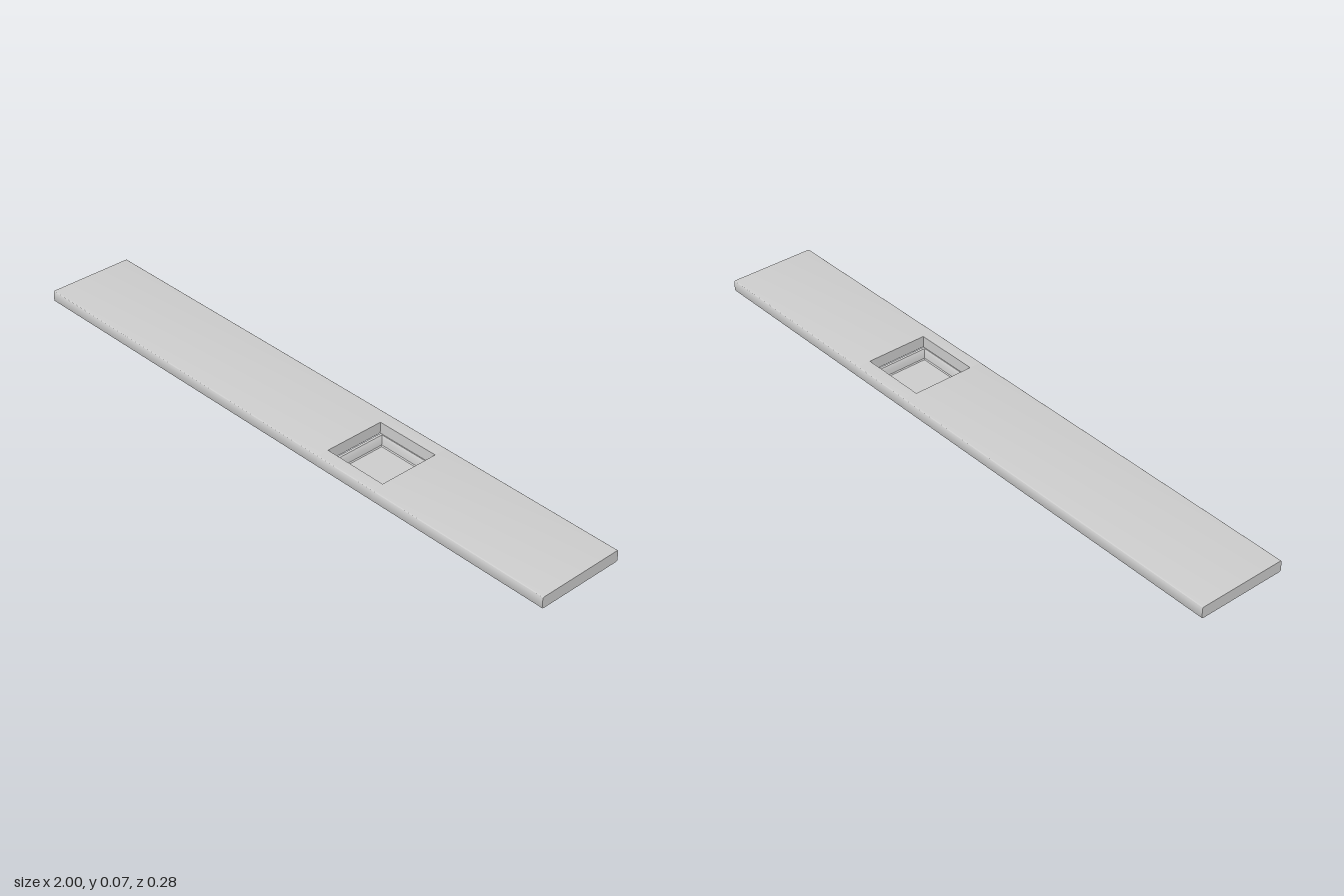
import * as THREE from 'three';
import { toCreasedNormals } from 'three/addons/utils/BufferGeometryUtils.js';

const material = new THREE.MeshStandardMaterial({ color: 0xcccccc });
const BOTTOM = 0.034, TOP = 0.07, DEPTH = 0.142, ROUND = 0.005;
const hole = { x0: 0.177, x1: 0.389, z0: -0.097, z1: 0.101 };

function add(group, name, geometry) {
  const mesh = new THREE.Mesh(toCreasedNormals(geometry, 0.55), material);
  mesh.name = name;
  group.add(mesh);
  return mesh;
}

// Slab section from z0 to z1, run along x; outer long edges are rounded
function slab(x0, x1, z0, z1) {
  const a = -z1, b = -z0;
  const ra = z1 >= DEPTH ? ROUND : 0, rb = z0 <= -DEPTH ? ROUND : 0;
  const s = new THREE.Shape();
  s.moveTo(a + ra, BOTTOM);
  s.lineTo(b - rb, BOTTOM);
  if (rb) s.quadraticCurveTo(b, BOTTOM, b, BOTTOM + rb);
  s.lineTo(b, TOP - rb);
  if (rb) s.quadraticCurveTo(b, TOP, b - rb, TOP);
  s.lineTo(a + ra, TOP);
  if (ra) s.quadraticCurveTo(a, TOP, a, TOP - ra);
  s.lineTo(a, BOTTOM + ra);
  if (ra) s.quadraticCurveTo(a, BOTTOM, a + ra, BOTTOM);
  return new THREE.ExtrudeGeometry(s, { depth: x1 - x0, bevelEnabled: false, curveSegments: 4 })
    .rotateY(Math.PI / 2).translate(x0, 0, 0);
}

export function createModel() {
  const model = new THREE.Group();
  model.name = 'countertopWithSink';

  // Worktop around the sink cutout
  const worktop = new THREE.Group();
  worktop.name = 'worktop';
  add(worktop, 'worktopRight', slab(-1, hole.x0, -DEPTH, DEPTH));
  add(worktop, 'worktopLeft', slab(hole.x1, 1, -DEPTH, DEPTH));
  add(worktop, 'worktopFrontStrip', slab(hole.x0, hole.x1, hole.z1, DEPTH));
  add(worktop, 'worktopBackStrip', slab(hole.x0, hole.x1, -DEPTH, hole.z0));
  model.add(worktop);

  // Square basin: up the outside, over the rim, down the inside to the floor
  const profile = [
    [0, 0], [0.089, 0], [0.093, 0.004], [0.096, 0.025], [0.104, 0.032], [0.104, 0.034],
    [0.096, 0.034], [0.092, 0.027], [0.089, 0.007], [0.086, 0.004], [0, 0.004],
  ].map(([half, y]) => new THREE.Vector2(half * Math.SQRT2, y));
  const basin = new THREE.LatheGeometry(profile, 4, Math.PI / 4);
  basin.translate((hole.x0 + hole.x1) / 2, 0, (hole.z0 + hole.z1) / 2);
  add(model, 'sinkBasin', basin);

  return model;
}
